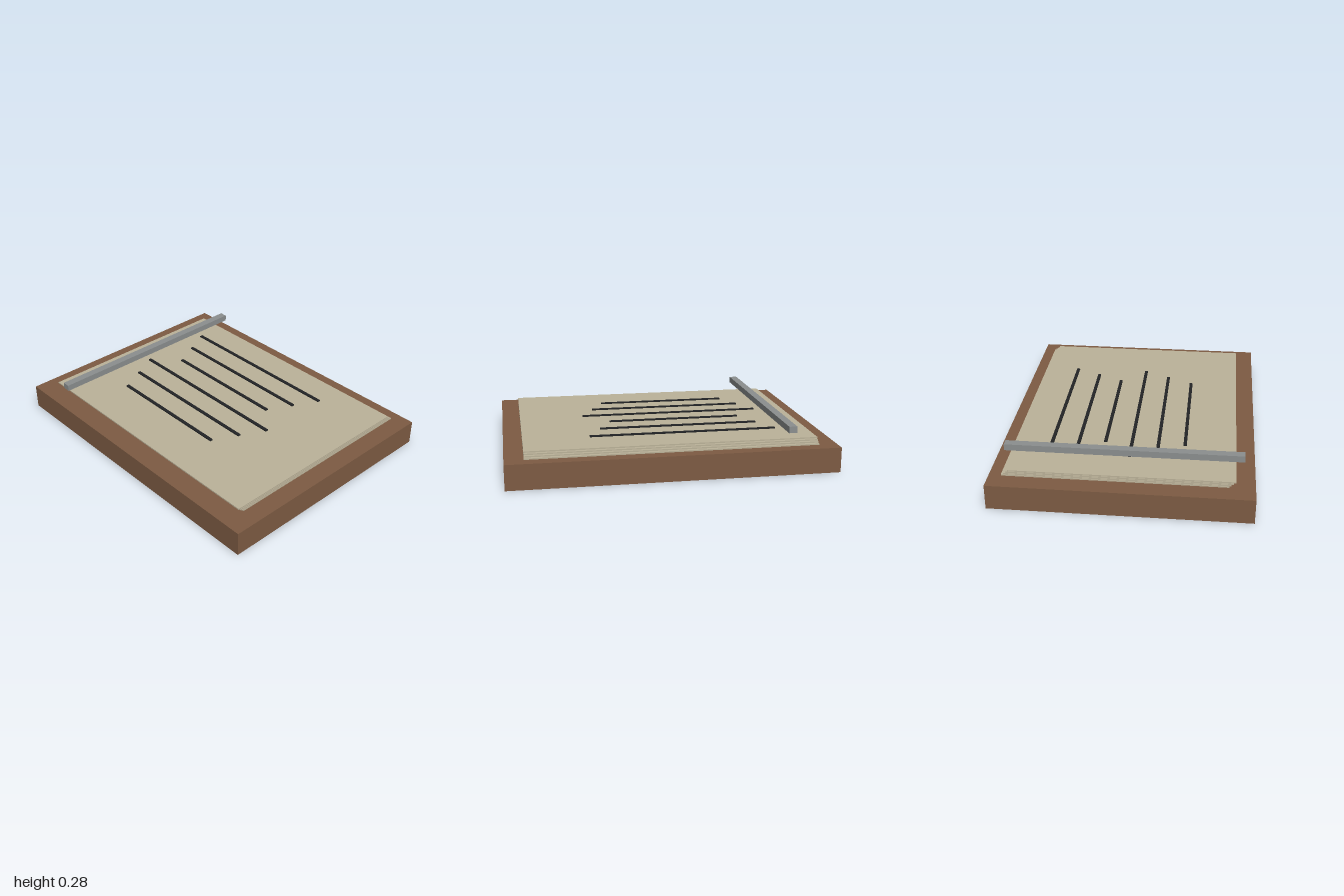
import * as THREE from 'three';

export function createModel() {
  const group = new THREE.Group();
  const material = (color) => new THREE.MeshStandardMaterial({ color, flatShading: true });
  const wood = material(0x7d5b43);
  const paper = material(0xbbb299);
  const ink = material(0x222426);
  const metal = material(0x8b8f8f);

  // Box given by its size and centre
  function box(name, mat, [w, h, d], [x, y, z]) {
    const mesh = new THREE.Mesh(new THREE.BoxGeometry(w, h, d), mat);
    mesh.name = name;
    mesh.position.set(x, y, z);
    group.add(mesh);
  }

  // Wooden board
  box('board', wood, [2, 0.155, 1.55], [0, 0.0775, 0]);

  // Stack of sheets, each slid a little further forward
  for (let i = 0; i < 4; i++) {
    box(`sheet${i + 1}`, paper, [1.77, 0.0078, 1.324],
      [0, 0.1605 + i * 0.0103, -0.039 + i * 0.0129]);
  }

  // Written lines, in three repeating lengths
  for (let i = 0; i < 6; i++) {
    box(`inkLine${i + 1}`, ink, [1.16 - (i % 3) * 0.16, 0.0078, 0.02],
      [-0.1, 0.2075, -0.455 + i * 0.1615]);
  }

  // Ruler bar held above the left side of the page
  box('rulerBar', metal, [0.05, 0.04, 1.42], [-0.714, 0.261, 0]);

  return group;
}
